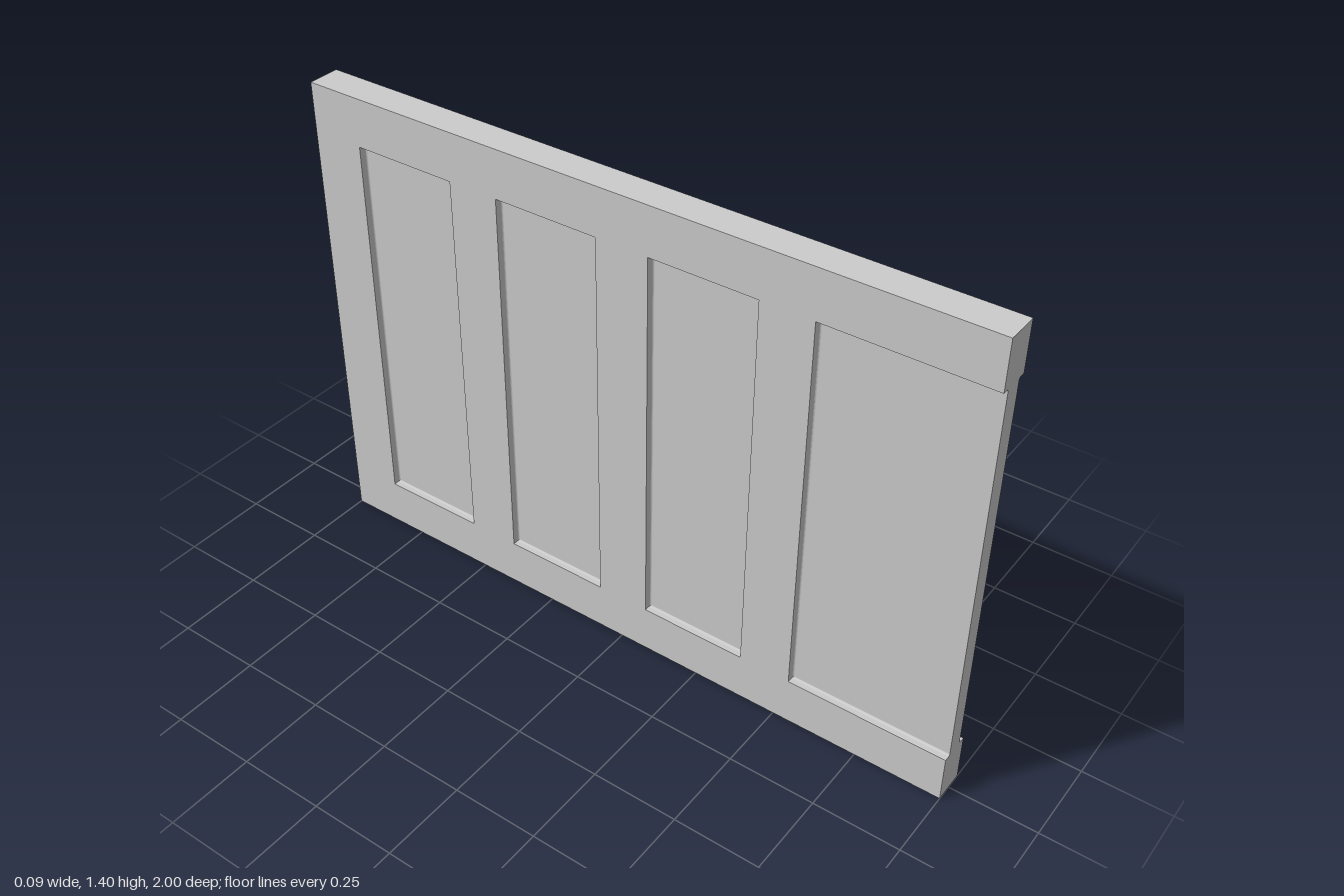
import * as THREE from 'three';

const HALF = 0.047;      // half thickness of the frame
const FLOOR = 0.026;     // half thickness of the core panel
const HEIGHT = 1.4, Y0 = 0.14, Y1 = 1.26, R = 0.006;
// recesses as [z min, z max]; the first runs out through the front end
const RECESSES = [[0.54, 1], [0.08, 0.39], [-0.385, -0.075], [-0.845, -0.535]];

const material = new THREE.MeshStandardMaterial({ color: 0xcccccc });

function addMesh(parent, name, geometry) {
  const mesh = new THREE.Mesh(geometry, material);
  mesh.name = name;
  parent.add(mesh);
  return mesh;
}

// Rails and stiles in one piece: outline in (z, y), extruded along x
function frameGeometry() {
  const points = (list) => list.map(([z, y]) => new THREE.Vector2(z, y));
  const notch = RECESSES[0][0];
  const shape = new THREE.Shape(points([
    [-1, 0], [1, 0], [1, Y0], [notch, Y0], [notch, Y1], [1, Y1], [1, HEIGHT], [-1, HEIGHT],
  ]));
  for (const [a, b] of RECESSES.slice(1)) {
    shape.holes.push(new THREE.Path(points([[a, Y0], [a, Y1], [b, Y1], [b, Y0]])));
  }
  const geometry = new THREE.ExtrudeGeometry(shape, { depth: HALF - FLOOR, bevelEnabled: false });
  return geometry.rotateY(-Math.PI / 2).translate(HALF - FLOOR, 0, 0);
}

// Small concave fillet where a recess wall meets its floor
function filletGeometry(center, wallNormal, side, length) {
  const shape = new THREE.Shape();
  shape.moveTo(0, 0);
  shape.lineTo(R, 0);
  shape.absarc(R, R, R, -Math.PI / 2, Math.PI, true);
  shape.lineTo(0, 0);
  const geometry = new THREE.ExtrudeGeometry(shape, {
    depth: length, bevelEnabled: false, curveSegments: 4,
  });
  geometry.translate(0, 0, -length / 2);
  const up = new THREE.Vector3(side, 0, 0);
  const along = new THREE.Vector3().crossVectors(wallNormal, up);
  const matrix = new THREE.Matrix4().makeBasis(wallNormal, up, along).setPosition(center);
  return geometry.applyMatrix4(matrix);
}

export function createModel() {
  const model = new THREE.Group();
  model.name = 'panelledWall';

  // Core panel, the floor of every recess
  addMesh(model, 'corePanel', new THREE.BoxGeometry(2 * FLOOR, HEIGHT, 2)).position.y = HEIGHT / 2;

  for (const side of [1, -1]) {
    const face = new THREE.Group();
    face.name = side > 0 ? 'leftFace' : 'rightFace';
    model.add(face);

    addMesh(face, 'frame', frameGeometry()).position.x = side > 0 ? FLOOR : -HALF;

    // Fillets around each recess
    const x = side * FLOOR;
    for (const [a, b] of RECESSES) {
      const zMid = (a + b) / 2, yMid = (Y0 + Y1) / 2;
      const edges = [
        [yMid, a, 0, 1, Y1 - Y0],
        [Y0, zMid, 1, 0, b - a],
        [Y1, zMid, -1, 0, b - a],
      ];
      if (b < 1) edges.push([yMid, b, 0, -1, Y1 - Y0]);
      for (const [y, z, ny, nz, length] of edges) {
        addMesh(face, 'recessFillet', filletGeometry(
          new THREE.Vector3(x, y, z), new THREE.Vector3(0, ny, nz), side, length));
      }
    }
  }
  return model;
}
